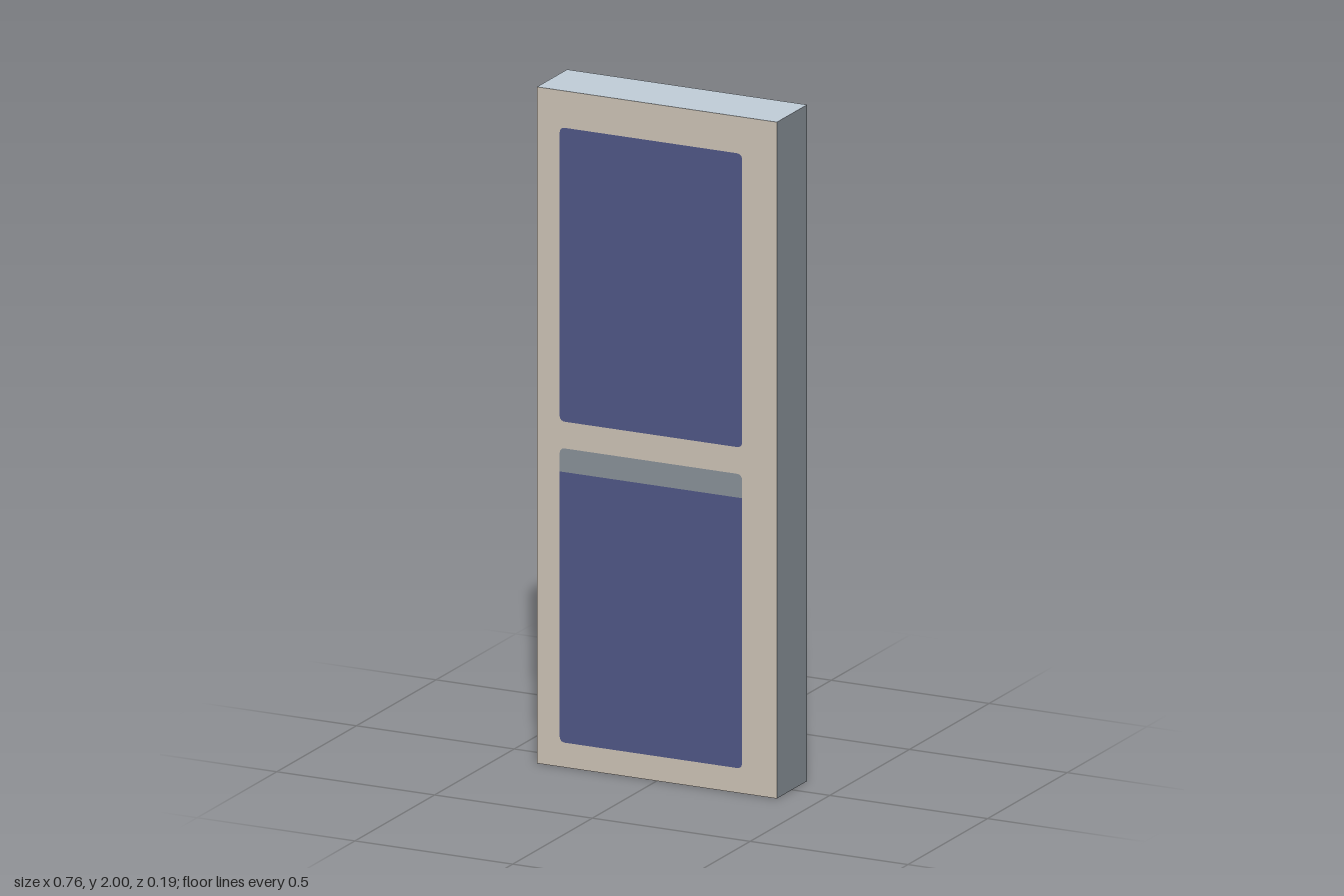
import * as THREE from 'three';

const W = 0.38, H = 2, D = 0.095;

// Rectangle with separate corner cuts at the top and the bottom
function panel(Type, x0, x1, y0, y1, top = 0, bottom = 0) {
  const s = new Type();
  s.moveTo(x0 + bottom, y0);
  s.lineTo(x1 - bottom, y0);
  if (bottom) s.quadraticCurveTo(x1, y0, x1, y0 + bottom);
  s.lineTo(x1, y1 - top);
  if (top) s.quadraticCurveTo(x1, y1, x1 - top, y1);
  s.lineTo(x0 + top, y1);
  if (top) s.quadraticCurveTo(x0, y1, x0, y1 - top);
  s.lineTo(x0, y0 + bottom);
  if (bottom) s.quadraticCurveTo(x0, y0, x0 + bottom, y0);
  return s;
}

// Material groups by facing: 0 upright, 1 upward, 2 downward
function groupByFacing(geometry) {
  geometry.clearGroups();
  const normal = geometry.attributes.normal;
  for (let i = 0; i < normal.count; i += 3) {
    const y = normal.getY(i);
    geometry.addGroup(i, 3, y > 0.5 ? 1 : y < -0.5 ? 2 : 0);
  }
  return geometry;
}

export function createModel() {
  const group = new THREE.Group();
  const material = (name, color) => {
    const m = new THREE.MeshStandardMaterial({ color });
    m.name = name;
    return m;
  };
  const grey = material('frameGrey', 0x8a9299);
  const pale = material('ledgePaleGrey', 0xc2cfda);
  const dark = material('undersideDark', 0x313131);
  const tan = material('facingTan', 0xcec4b7);
  const blue = material('paneBlue', 0x505787);

  const add = (name, geometry, mat, z) => {
    const mesh = new THREE.Mesh(geometry, mat);
    mesh.name = name;
    mesh.position.z = z;
    group.add(mesh);
    return mesh;
  };

  // Deep frame with two openings towards the back, pale ledges and dark undersides
  const openings = [[0.09, 0.955], [1.045, 1.905]];
  const outline = panel(THREE.Shape, -W, W, 0, H);
  for (const [y0, y1] of openings) outline.holes.push(panel(THREE.Path, -0.287, 0.287, y0, y1));
  const frame = new THREE.ExtrudeGeometry(outline, { depth: 2 * D - 0.0005, bevelEnabled: false });
  add('frame', groupByFacing(frame), [grey, pale, dark], -D);

  // Recessed panes seen from behind
  for (const [y0, y1] of openings) {
    const pane = add('backPane', new THREE.PlaneGeometry(0.574, y1 - y0), blue, 0);
    pane.position.y = (y0 + y1) / 2;
    pane.rotation.y = Math.PI;
  }

  // Flat front facing with two slightly off-centre rounded windows
  const x0 = -0.308, x1 = 0.27, r = 0.018;
  const facing = panel(THREE.Shape, -W, W, 0, H);
  facing.holes.push(panel(THREE.Path, x0, x1, 0.073, 0.943, r, r));
  facing.holes.push(panel(THREE.Path, x0, x1, 1.022, 1.891, r, r));
  add('frontFacing', new THREE.ShapeGeometry(facing), tan, D);

  // Flush front panes and the sash strip above the lower one
  const front = (name, mat, y0, y1, top, bottom) =>
    add(name, new THREE.ShapeGeometry(panel(THREE.Shape, x0, x1, y0, y1, top, bottom)), mat, D);
  front('upperFrontPane', blue, 1.022, 1.891, r, r);
  front('lowerFrontPane', blue, 0.073, 0.873, 0, r);
  front('sashStrip', grey, 0.873, 0.943, r, 0);

  return group;
}
